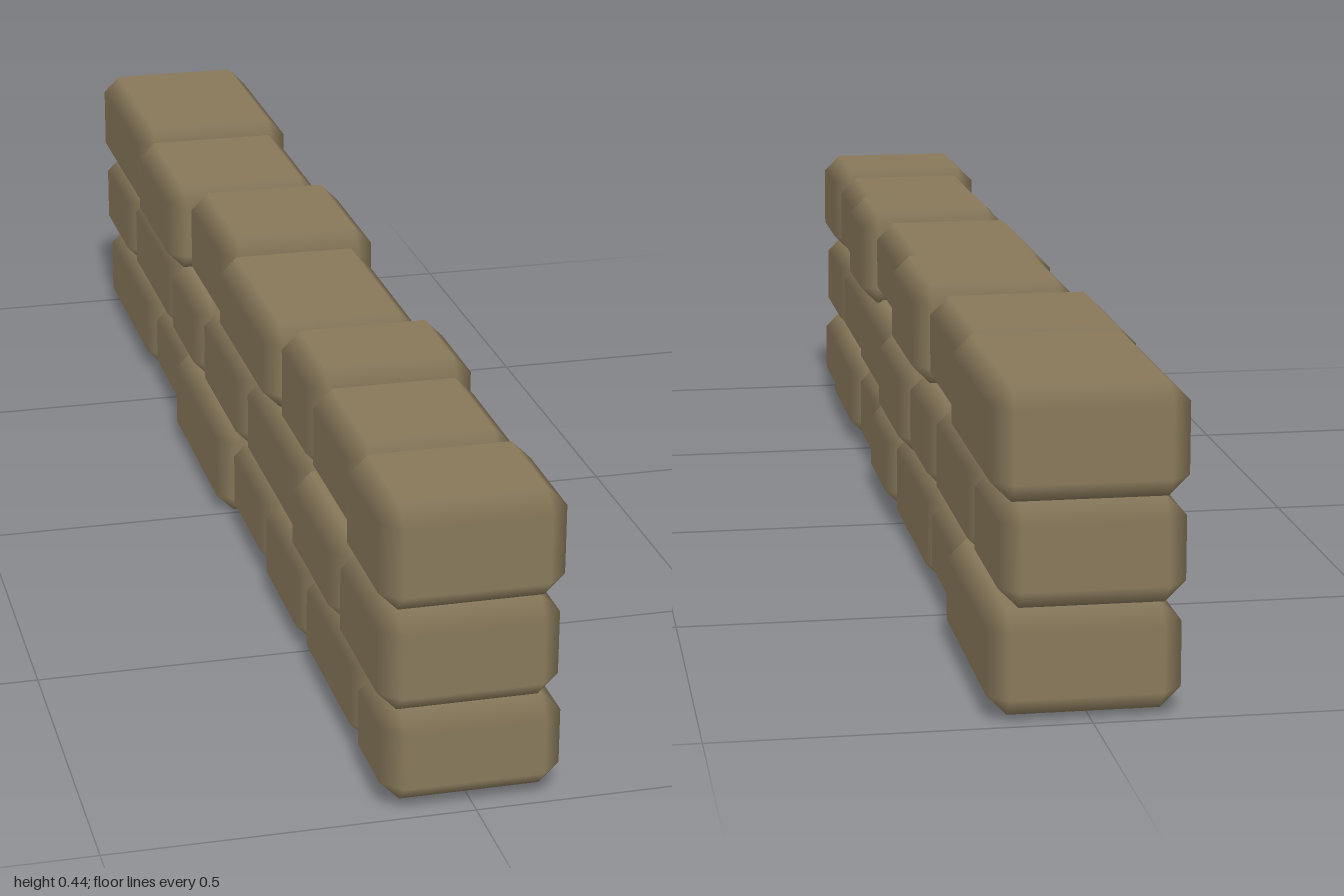
import * as THREE from 'three';

// Box with one bevel strip per edge; flat faces, softly shaded bevels.
function brickGeometry(w, h, d, c) {
  const half = [w / 2, h / 2, d / 2];
  const pos = [], nor = [], index = [];
  const id = {};
  const signs = [-1, 1];
  // Three corner points per box corner, one on each adjoining face
  for (let axis = 0; axis < 3; axis++)
    for (const x of signs) for (const y of signs) for (const z of signs) {
      const s = [x, y, z];
      id[axis + ':' + s] = pos.length / 3;
      for (let k = 0; k < 3; k++) {
        pos.push(s[k] * (half[k] - (k === axis ? 0 : c)));
        nor.push(k === axis ? s[k] : 0);
      }
    }
  const point = i => new THREE.Vector3().fromArray(pos, i * 3);
  // Adds a triangle wound to face away from the centre
  const tri = (a, b, e) => {
    const n = point(b).sub(point(a)).cross(point(e).sub(point(a)));
    const out = point(a).add(point(b)).add(point(e));
    if (n.dot(out) < 0) index.push(a, e, b); else index.push(a, b, e);
  };
  const quad = (a, b, e, f) => { tri(a, b, e); tri(a, e, f); };
  for (let a = 0; a < 3; a++) {
    const b = (a + 1) % 3, e = (a + 2) % 3;
    const at = (axis, sa, sb, se) => {
      const s = []; s[a] = sa; s[b] = sb; s[e] = se;
      return id[axis + ':' + s];
    };
    // Faces
    for (const s of signs) quad(at(a, s, -1, -1), at(a, s, 1, -1), at(a, s, 1, 1), at(a, s, -1, 1));
    // Bevels along this axis
    for (const p of signs) for (const q of signs)
      quad(at(b, -1, p, q), at(b, 1, p, q), at(e, 1, p, q), at(e, -1, p, q));
  }
  // Corners
  for (const x of signs) for (const y of signs) for (const z of signs) {
    const s = [x, y, z];
    tri(id['0:' + s], id['1:' + s], id['2:' + s]);
  }
  const g = new THREE.BufferGeometry();
  g.setAttribute('position', new THREE.Float32BufferAttribute(pos, 3));
  g.setAttribute('normal', new THREE.Float32BufferAttribute(nor, 3));
  g.setIndex(index);
  return g;
}

// Each brick: front z, back z, left-out x, right-out x, bottom y, top y
const COURSES = {
  bottomCourse: [
    [1, 0.835, -0.125, 0.12, 0.015, 0.147],
    [0.825, 0.525, -0.12, 0.125, 0.01, 0.15],
    [0.515, 0.27, -0.12, 0.115, 0.008, 0.148],
    [0.26, 0.025, -0.115, 0.13, 0.013, 0.147],
    [0.015, -0.355, -0.13, 0.12, 0, 0.15],
    [-0.365, -0.6, -0.115, 0.12, 0.015, 0.143],
    [-0.61, -1, -0.12, 0.135, 0.008, 0.15],
  ],
  middleCourse: [
    [1, 0.755, -0.13, 0.115, 0.147, 0.29],
    [0.745, 0.48, -0.13, 0.115, 0.152, 0.285],
    [0.47, 0.125, -0.115, 0.12, 0.15, 0.29],
    [0.115, -0.17, -0.12, 0.135, 0.15, 0.292],
    [-0.18, -0.405, -0.125, 0.125, 0.152, 0.29],
    [-0.415, -0.75, -0.12, 0.12, 0.148, 0.292],
    [-0.76, -1, -0.125, 0.12, 0.15, 0.29],
  ],
  topCourse: [
    [1, 0.79, -0.13, 0.12, 0.29, 0.44],
    [0.78, 0.54, -0.115, 0.115, 0.295, 0.433],
    [0.53, 0.33, -0.11, 0.13, 0.285, 0.44],
    [0.32, -0.025, -0.125, 0.11, 0.298, 0.43],
    [-0.035, -0.31, -0.11, 0.133, 0.29, 0.44],
    [-0.32, -0.615, -0.138, 0.115, 0.293, 0.433],
    [-0.625, -1, -0.128, 0.13, 0.29, 0.44],
  ],
};

export function createModel() {
  const wall = new THREE.Group();
  wall.name = 'brickWall';
  const stone = new THREE.MeshStandardMaterial({ color: 0x87785a });
  stone.name = 'brownStone';

  for (const [name, bricks] of Object.entries(COURSES)) {
    const course = new THREE.Group();
    course.name = name;
    bricks.forEach(([z1, z0, x0, x1, y0, y1], i) => {
      const brick = new THREE.Mesh(brickGeometry(x1 - x0, y1 - y0, z1 - z0, 0.027), stone);
      brick.name = 'brick' + (i + 1);
      brick.position.set((x0 + x1) / 2, (y0 + y1) / 2, (z0 + z1) / 2);
      course.add(brick);
    });
    wall.add(course);
  }
  return wall;
}
